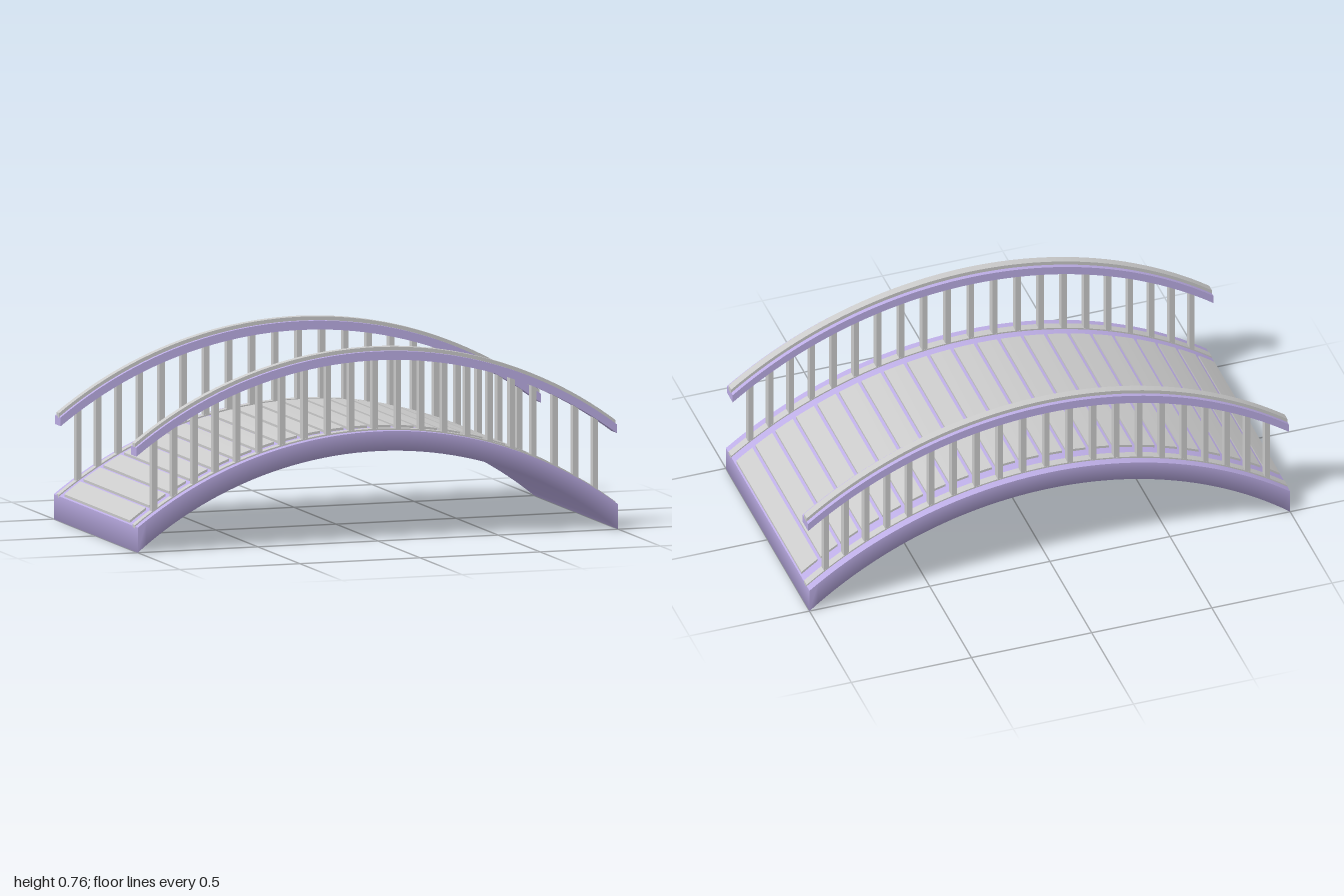
import * as THREE from 'three';

const CY = -1.223, R = 1.658, R_UNDER = 1.58; // shared arc centre and radii
const top = x => CY + Math.sqrt(R * R - x * x);
const under = x => CY + Math.sqrt(R_UNDER * R_UNDER - x * x);
const raised = d => x => top(x) + d;
const along = s => Math.max(-1, Math.min(1, R * Math.sin(s / R))); // arc length to x

const grey = new THREE.MeshStandardMaterial({ color: 0xcccccc });
const purple = new THREE.MeshStandardMaterial({ color: 0xbdaee6 });

// Arched bar of rectangular section between two height curves.
// softBottom lets the lower edges share normals with the underside.
function arch(name, material, { x0 = -1, x1 = 1, n = 48, z0, z1, lo, hi, softBottom = false }) {
  const pos = [], index = [], shared = new Map();
  const t0 = Math.asin(x0 / R), t1 = Math.asin(x1 / R);
  const vertex = (i, c) => {
    const key = i * 4 + c, soft = softBottom && c < 2;
    if (soft && shared.has(key)) return shared.get(key);
    const x = R * Math.sin(t0 + (t1 - t0) * i / n);
    pos.push(x, c < 2 ? lo(x) : hi(x), c === 0 || c === 3 ? z0 : z1);
    const id = pos.length / 3 - 1;
    if (soft) shared.set(key, id);
    return id;
  };
  const quad = (a, b, c, d) => index.push(a, b, c, a, c, d);
  for (let c = 0; c < 4; c++) {
    const d = (c + 1) % 4;
    let p = vertex(0, c), q = vertex(0, d);
    for (let i = 1; i <= n; i++) {
      const p2 = vertex(i, c), q2 = vertex(i, d);
      quad(p, p2, q2, q);
      p = p2; q = q2;
    }
  }
  quad(...[0, 1, 2, 3].map(c => vertex(0, c)));
  quad(...[1, 0, 3, 2].map(c => vertex(n, c)));
  const g = new THREE.BufferGeometry();
  g.setAttribute('position', new THREE.Float32BufferAttribute(pos, 3));
  g.setIndex(index);
  g.computeVertexNormals();
  const mesh = new THREE.Mesh(g, material);
  mesh.name = name;
  return mesh;
}

export function createModel() {
  const bridge = new THREE.Group();
  bridge.name = 'archedFootbridge';

  // Arched deck body
  bridge.add(arch('deck', purple, { z0: -0.5, z1: 0.5, lo: under, hi: top, softBottom: true }));

  // Walkway planks, evenly spaced along the arc
  const planks = new THREE.Group();
  planks.name = 'planks';
  const pitch = 0.0977, gap = 0.016;
  for (let k = -11; k < 11; k++) {
    planks.add(arch('plank', grey, {
      x0: along(k * pitch + gap / 2), x1: along((k + 1) * pitch - gap / 2), n: 2,
      z0: -0.39, z1: 0.39, lo: raised(-0.008), hi: raised(0.01),
    }));
  }
  bridge.add(planks);

  // Railings on both sides
  for (const side of [1, -1]) {
    const railing = new THREE.Group();
    railing.name = side > 0 ? 'frontRailing' : 'backRailing';
    const zc = side * 0.451;
    const bar = (name, mat, half, lo, hi) =>
      railing.add(arch(name, mat, { z0: zc - half, z1: zc + half, lo: raised(lo), hi: raised(hi) }));
    bar('baseStrip', grey, 0.016, -0.007, 0.006);
    bar('handrail', purple, 0.033, 0.28, 0.315);
    bar('handrailCap', grey, 0.016, 0.31, 0.33);

    // Upright balusters
    for (let k = -10; k <= 10; k++) {
      const x = along(k * 0.0972);
      const baluster = new THREE.Mesh(new THREE.BoxGeometry(0.022, 0.3, 0.031), grey);
      baluster.name = 'baluster';
      baluster.position.set(x, top(x) + 0.14, zc);
      railing.add(baluster);
    }
    bridge.add(railing);
  }
  return bridge;
}
